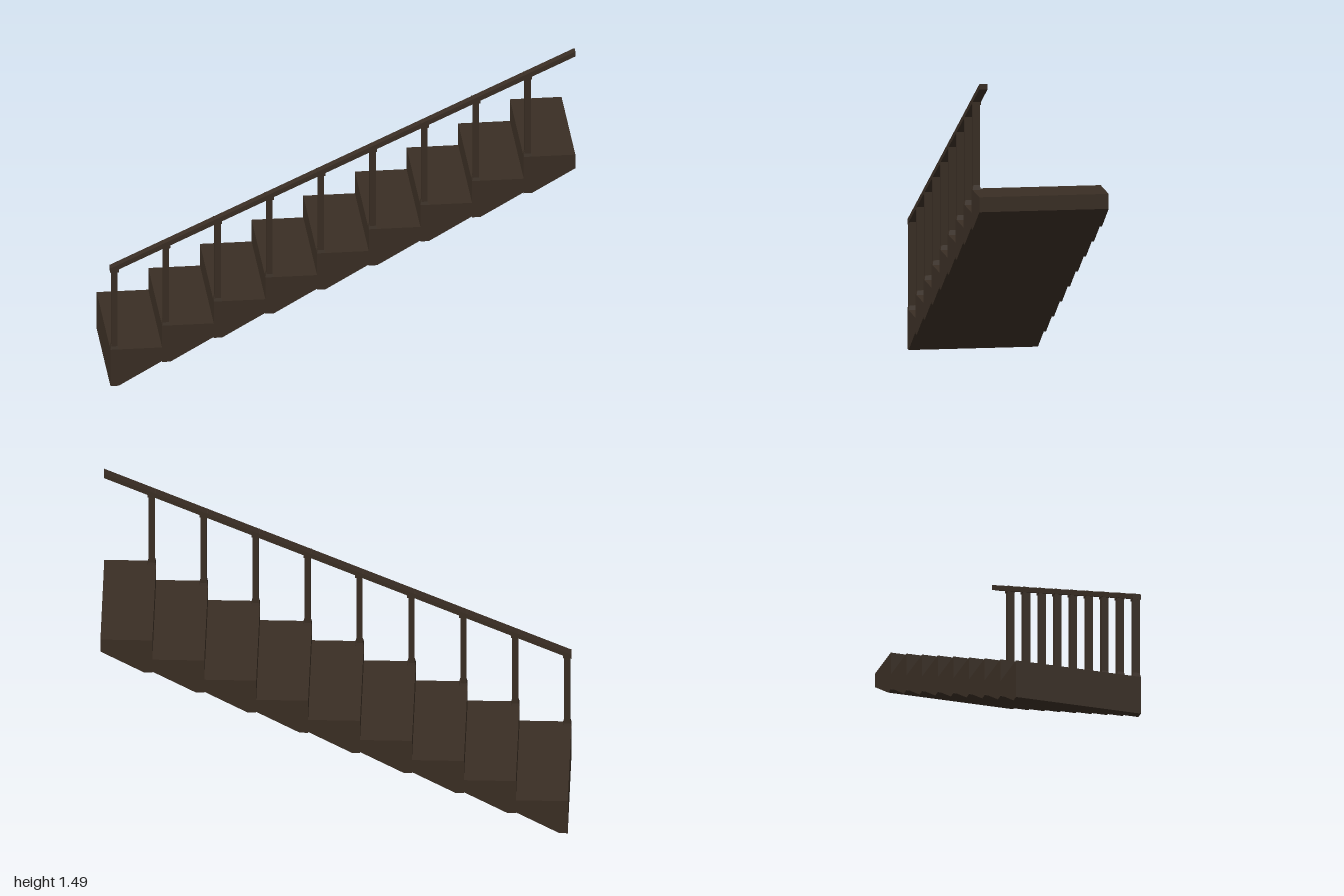
import * as THREE from 'three';

export function createModel() {
  const group = new THREE.Group();
  const wood = new THREE.MeshStandardMaterial({ color: 0x3a2e24 });
  wood.name = 'darkWood';

  const STEPS = 9, RUN = 2 / STEPS, RISE = 0.1034, HALF = 0.28;
  const RAIL_Z = 0.262, POST_X = 0.018, TOP = 0.173;

  const add = (name, geometry, x, y, z, parent = group) => {
    const mesh = new THREE.Mesh(geometry, wood);
    mesh.name = name;
    mesh.position.set(x, y, z);
    parent.add(mesh);
  };
  // Side profile in x and y, extruded along z
  const extrude = (points, depth) => new THREE.ExtrudeGeometry(
    new THREE.Shape(points.map(([x, y]) => new THREE.Vector2(x, y))),
    { depth, bevelEnabled: false });

  // Step block with a sloping underside and a short flat toe
  const stepGeo = extrude([[0, 0], [0.036, 0], [RUN, 0.108], [RUN, TOP], [0, TOP]], 2 * HALF);
  const postGeo = new THREE.BoxGeometry(0.026, 0.38, 0.03);
  const collarGeo = new THREE.BoxGeometry(0.036, 0.022, 0.036);
  // Foot tapers from the collar width to the post width
  const footGeo = new THREE.CylinderGeometry(0.0195, 0.0255, 0.02, 4);
  footGeo.rotateY(Math.PI / 4);

  for (let i = 0; i < STEPS; i++) {
    const x = -1 + i * RUN, y = i * RISE;
    add('step', stepGeo, x, y, -HALF);
    const baluster = new THREE.Group();
    baluster.name = 'baluster';
    baluster.position.set(x + POST_X, y + TOP, RAIL_Z);
    group.add(baluster);
    add('post', postGeo, 0, 0.19, 0, baluster);
    add('foot', footGeo.toNonIndexed(), 0, 0.01, 0, baluster);
    add('collar', collarGeo, 0, 0.379, 0, baluster);
    baluster.children[1].geometry.computeVertexNormals();
  }

  // Handrail following the pitch of the stairs, with plumb-cut ends
  const rise = 2 * RISE / RUN, y0 = 0.538;
  add('handrail', extrude([[-1, y0], [1, y0 + rise], [1, y0 + rise + 0.023], [-1, y0 + 0.023]], 0.036),
    0, 0, RAIL_Z - 0.018);

  return group;
}
